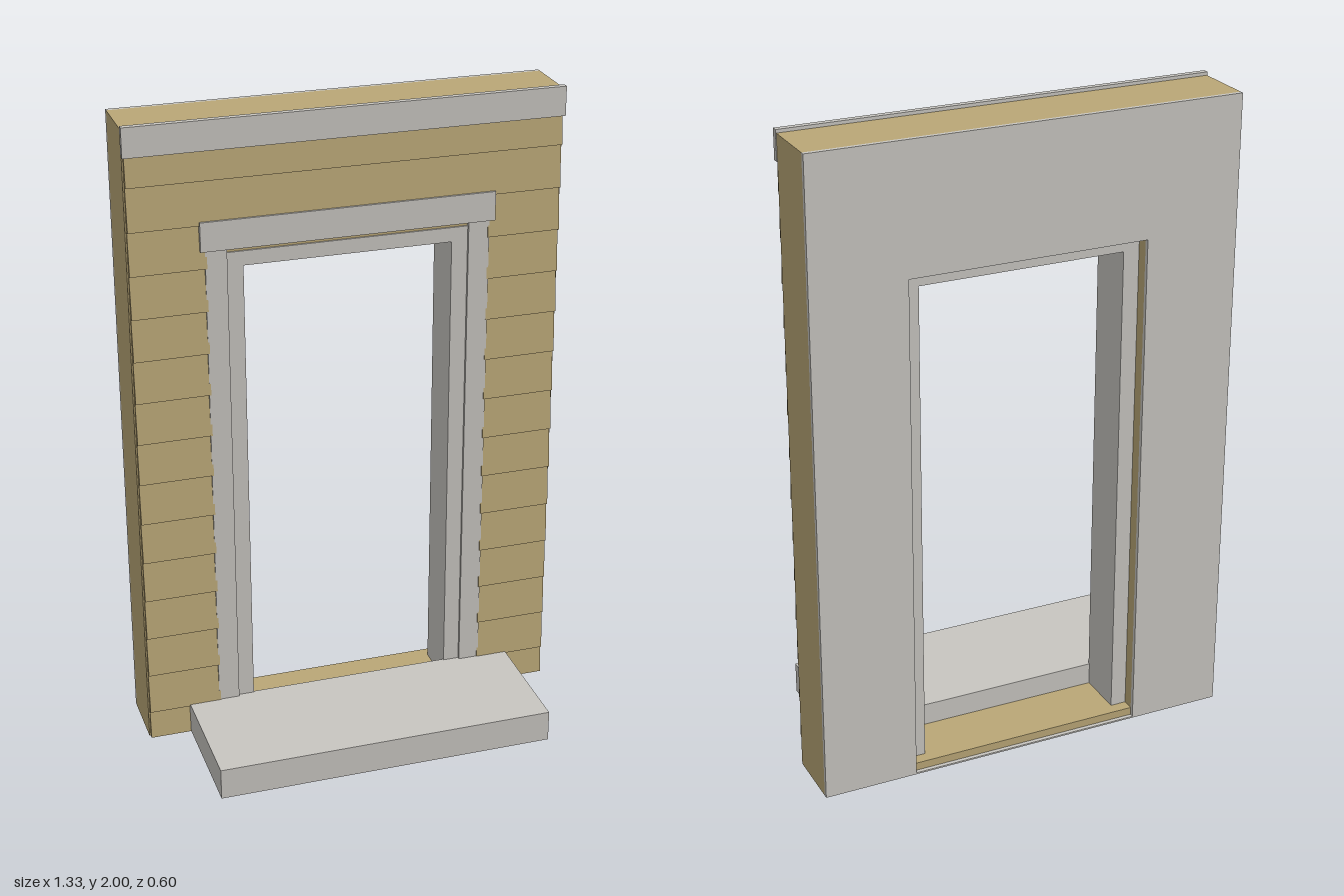
import * as THREE from 'three';

const tan = new THREE.MeshStandardMaterial({ color: 0xbaa777 });
tan.name = 'tan siding';
const grey = new THREE.MeshStandardMaterial({ color: 0xc8c6c1 });
grey.name = 'pale grey';

// Box given by its limits on each axis
function box(name, mat, x0, x1, y0, y1, z0, z1) {
  const mesh = new THREE.Mesh(new THREE.BoxGeometry(x1 - x0, y1 - y0, z1 - z0), mat);
  mesh.position.set((x0 + x1) / 2, (y0 + y1) / 2, (z0 + z1) / 2);
  mesh.name = name;
  return mesh;
}

// Upright slab with a doorway cut through it
function doorwaySlab(name, mat, halfW, top, floor, z0, z1) {
  const shape = new THREE.Shape([
    new THREE.Vector2(-halfW, 0), new THREE.Vector2(halfW, 0),
    new THREE.Vector2(halfW, top), new THREE.Vector2(-halfW, top),
  ]);
  shape.holes.push(new THREE.Path([
    new THREE.Vector2(-0.37, floor), new THREE.Vector2(-0.37, 1.595),
    new THREE.Vector2(0.37, 1.595), new THREE.Vector2(0.37, floor),
  ]));
  const geo = new THREE.ExtrudeGeometry(shape, { depth: z1 - z0, bevelEnabled: false });
  geo.translate(0, 0, z0);
  const mesh = new THREE.Mesh(geo, mat);
  mesh.name = name;
  return mesh;
}

// Wedge-shaped board: thick lower lip, thin upper edge, clipped to the wall
const PITCH = 0.1328, LIP = -0.083, THIN = -0.094, BACK = -0.1;
function clapboard(bottom, x0, x1) {
  const y0 = Math.max(bottom, 0), y1 = Math.min(bottom + PITCH, 1.92);
  const face = (y) => LIP + (THIN - LIP) * (y - bottom) / PITCH;
  const shape = new THREE.Shape([
    new THREE.Vector2(BACK, y0), new THREE.Vector2(face(y0), y0),
    new THREE.Vector2(face(y1), y1), new THREE.Vector2(BACK, y1),
  ]);
  const geo = new THREE.ExtrudeGeometry(shape, { depth: x1 - x0, bevelEnabled: false });
  geo.rotateY(-Math.PI / 2);
  geo.translate(x1, 0, 0);
  const mesh = new THREE.Mesh(geo, tan);
  mesh.name = 'clapboard';
  return mesh;
}

export function createModel() {
  const model = new THREE.Group();
  model.name = 'doorwayWall';

  // Wall core and interior lining
  model.add(doorwaySlab('wallCore', tan, 0.662, 1.99, 0.03, -0.287, BACK));
  model.add(doorwaySlab('interiorPanel', grey, 0.662, 1.99, 0.005, -0.3, -0.287));

  // Siding courses, split around the doorway
  const siding = new THREE.Group();
  siding.name = 'siding';
  for (let i = 0; i < 15; i++) {
    const y = 0.095 + (i - 1) * PITCH;
    if (y > 1.65) {
      siding.add(clapboard(y, -0.658, 0.658));
    } else {
      siding.add(clapboard(y, -0.658, -0.43), clapboard(y, 0.43, 0.658));
    }
  }
  model.add(siding);

  // Top board
  model.add(box('topBoard', grey, -0.664, 0.664, 1.91, 2, BACK, -0.081));

  // Outer door casing
  model.add(box('casingHead', grey, -0.45, 0.45, 1.61, 1.7, BACK, -0.077));
  for (const s of [-1, 1]) {
    const a = 0.37 * s, b = 0.435 * s;
    model.add(box('casingSide', grey, Math.min(a, b), Math.max(a, b), 0.03, 1.61, BACK, -0.086));
  }

  // Inner door frame set into the opening
  for (const s of [-1, 1]) {
    const a = 0.32 * s, b = 0.37 * s;
    model.add(box('frameJamb', grey, Math.min(a, b), Math.max(a, b), 0.03, 1.595, -0.25, -0.095));
  }
  model.add(box('frameHead', grey, -0.32, 0.32, 1.55, 1.595, -0.25, -0.095));

  // Front step
  model.add(box('frontStep', grey, -0.53, 0.53, 0, 0.1, BACK, 0.3));

  return model;
}
